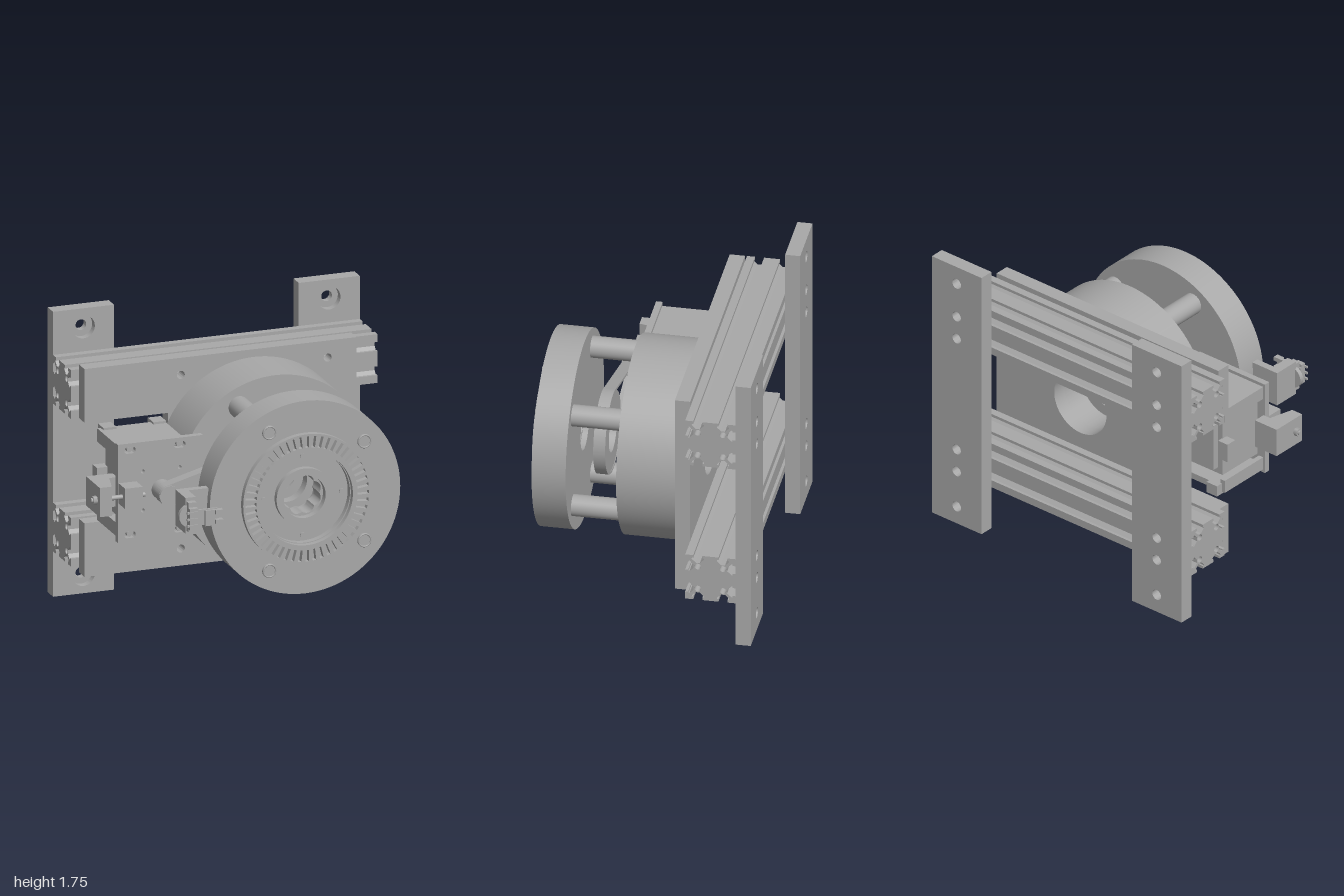
import * as THREE from 'three';
import { toCreasedNormals } from 'three/addons/utils/BufferGeometryUtils.js';

const CX = 0.195, CY = 0.88, MX = -0.54;   // drum axis and motor axis

export function createModel() {
  const root = new THREE.Group();
  const grey = new THREE.MeshStandardMaterial({ color: 0xa8a8a8 });
  grey.name = 'machined grey';

  const add = (name, geo, x = 0, y = 0, z = 0) => {
    const m = new THREE.Mesh(geo, grey);
    m.name = name;
    m.position.set(x, y, z);
    root.add(m);
    return m;
  };
  const box = (name, x0, x1, y0, y1, z0, z1) =>
    add(name, new THREE.BoxGeometry(x1 - x0, y1 - y0, z1 - z0), (x0 + x1) / 2, (y0 + y1) / 2, (z0 + z1) / 2);
  const circle = (x, y, r) => new THREE.Path().absarc(x, y, r, 0, Math.PI * 2, false);
  const disc = (x, y, r) => new THREE.Shape().absarc(x, y, r, 0, Math.PI * 2, false);
  const poly = (pts) => new THREE.Shape(pts.map(([x, y]) => new THREE.Vector2(x, y)));
  const rect = (x0, x1, y0, y1) => poly([[x0, y0], [x1, y0], [x1, y1], [x0, y1]]);
  const solid = (shape, depth, seg = 32) => toCreasedNormals(
    new THREE.ExtrudeGeometry(shape, { depth, bevelEnabled: false, curveSegments: seg }), 0.5);
  // Extrude a front outline between two depths
  const slab = (name, shape, z0, z1, holes = [], seg = 32) => {
    shape.holes.push(...holes);
    return add(name, solid(shape, z1 - z0, seg), 0, 0, z0);
  };
  const rodZ = (name, x, y, r, z0, z1, seg = 32) =>
    add(name, new THREE.CylinderGeometry(r, r, z1 - z0, seg).rotateX(Math.PI / 2), x, y, (z0 + z1) / 2);
  const rodX = (name, x0, x1, y, z, r, seg = 20) =>
    add(name, new THREE.CylinderGeometry(r, r, x1 - x0, seg).rotateZ(Math.PI / 2), (x0 + x1) / 2, y, z);

  // Upright mounting bars with counterbored end holes
  for (const x0 of [-0.91, 0.62]) {
    const cx = x0 + 0.19;
    const inner = () => [1.415, 1.265, 0.505, 0.355].map((y) => circle(cx, y, 0.032));
    const ends = (r) => [1.64, 0.115].map((y) => circle(cx, y, r));
    slab('mountingBarBack', rect(x0, x0 + 0.38, 0, 1.755), -0.755, -0.71, [...inner(), ...ends(0.033)]);
    slab('mountingBarFront', rect(x0, x0 + 0.38, 0, 1.755), -0.71, -0.665, [...inner(), ...ends(0.07)]);
  }

  // Slotted rails: one side of the section turned four times
  const side = [[0.15, 0.15]];
  for (const c of [0.075, -0.075]) {
    const half = [[0.027, 0.15], [0.027, 0.132], [0.037, 0.132], [0.037, 0.125], [0.012, 0.1]];
    half.forEach(([x, y]) => side.push([c + x, y]));
    [...half].reverse().forEach(([x, y]) => side.push([c - x, y]));
  }
  const outline = [];
  for (let k = 0, c = 1, s = 0; k < 4; k++, [c, s] = [-s, c])
    side.forEach(([x, y]) => outline.push([x * c - y * s, x * s + y * c]));
  for (const y of [1.34, 0.43]) {
    const section = poly(outline);
    for (const a of [-0.075, 0.075]) for (const b of [-0.075, 0.075]) section.holes.push(circle(a, b, 0.02));
    add('slottedRail', solid(section, 1.91, 8).rotateY(Math.PI / 2), -0.91, y, -0.515);
  }

  // Base plate, notched for the motor
  const plateHoles = [circle(CX, CY, 0.2)];
  for (const x of [-0.26, 0.655]) for (const y of [1.415, 0.345]) plateHoles.push(circle(x, y, 0.025));
  slab('basePlate', poly([[-0.86, 0.24], [0.835, 0.24], [0.835, 1.52], [-0.86, 1.52],
    [-0.86, 1.19], [-0.34, 1.19], [-0.34, 0.57], [-0.86, 0.57]]), -0.363, -0.272, plateHoles);

  // Rear drum with a flat beside the motor
  const flat = Math.acos((-0.36 - CX) / 0.593);
  slab('rearDrum', new THREE.Shape().absarc(CX, CY, 0.593, -flat, flat, false), -0.272, 0.087, [circle(CX, CY, 0.2)], 72);
  slab('bearingFlange', disc(CX, CY, 0.28), 0.08, 0.11, [circle(CX, CY, 0.125)], 48);
  slab('rearBearing', disc(CX, CY, 0.205), -0.12, 0.08, [circle(CX, CY, 0.135)], 48);

  // Posts and their front bolts
  for (const [x, y] of [[-0.03, 1.305], [0.562, 1.185], [0.562, 0.575], [-0.03, 0.455]]) {
    rodZ('post', x, y, 0.065, 0.08, 0.395);
    rodZ('postBolt', x, y, 0.042, 0.58, 0.602);
    add('boltRim', new THREE.TorusGeometry(0.038, 0.005, 6, 28), x, y, 0.602);
  }

  // Front disc with a stepped, hollow centre
  const prof = [[0.13, 0.387], [0.593, 0.387], [0.593, 0.59], [0.28, 0.59], [0.28, 0.55],
    [0.175, 0.55], [0.175, 0.585], [0.13, 0.585], [0.13, 0.387]];
  add('frontDisc', toCreasedNormals(new THREE.LatheGeometry(
    prof.map(([r, z]) => new THREE.Vector2(r, z)), 96).rotateX(Math.PI / 2), 0.5), CX, CY, 0);
  for (let i = 0; i < 4; i++) {
    const a = i * Math.PI / 2;
    rodZ('hubScrew', CX + 0.243 * Math.cos(a), CY + 0.243 * Math.sin(a), 0.016, 0.54, 0.558, 16);
  }

  // Ring of radial slots
  const slots = [];
  for (let i = 0; i < 52; i++) {
    const a = i / 52 * Math.PI * 2, c = Math.cos(a), s = Math.sin(a);
    slots.push(new THREE.Path([[0.315, -0.011], [0.385, -0.011], [0.385, 0.011], [0.315, 0.011]]
      .map(([r, t]) => new THREE.Vector2(CX + r * c - t * s, CY + r * s + t * c))));
  }
  slab('slottedRing', disc(CX, CY, 0.398), 0.588, 0.625, [circle(CX, CY, 0.285), ...slots], 64);

  // Scalloped bore
  const scallop = [];
  for (let i = 0; i < 96; i++) {
    const a = i / 96 * Math.PI * 2, r = 0.106 + 0.016 * Math.abs(Math.sin(4 * a));
    scallop.push(new THREE.Vector2(CX + r * Math.cos(a), CY + r * Math.sin(a)));
  }
  slab('scallopedBore', disc(CX, CY, 0.135), 0.42, 0.54, [new THREE.Path(scallop)], 48);

  // Pulleys and belt
  const loop = (T, R1, R2) => {
    const a = Math.acos((R1 - R2) / (CX - MX));
    return new T().absarc(CX, CY, R1, a - Math.PI, Math.PI - a, false)
      .absarc(MX, CY, R2, Math.PI - a, Math.PI + a, false);
  };
  slab('belt', loop(THREE.Shape, 0.255, 0.062), 0.217, 0.288, [loop(THREE.Path, 0.24, 0.047)], 48);
  slab('largePulley', disc(CX, CY, 0.242), 0.22, 0.285, [circle(CX, CY, 0.125)], 64);
  rodZ('smallPulley', MX, CY, 0.049, 0.2, 0.3);
  rodZ('pulleyFlange', MX, CY, 0.062, 0.291, 0.302);
  rodZ('pulleyHub', MX, CY, 0.06, 0.15, 0.212);

  // Motor and its cradle
  const lugs = [];
  for (const x of [-0.735, -0.425]) for (const y of [1.14, 0.62]) {
    const p = new THREE.Path();
    p.absarc(x + 0.016, y, 0.02, -Math.PI / 2, Math.PI / 2, false);
    p.absarc(x - 0.016, y, 0.02, Math.PI / 2, Math.PI * 1.5, false);
    lugs.push(p);
    rodZ('cradleBolt', x, y, 0.016, 0.1, 0.145, 12);
    box('cradleFoot', x - 0.04, x + 0.04, y - 0.035, y + 0.035, -0.275, -0.18);
  }
  for (const x of [-0.655, -0.425]) for (const y of [1.0, 0.76]) lugs.push(circle(x, y, 0.012));
  slab('motorPlate', rect(-0.81, -0.28, 0.577, 1.182), 0.117, 0.156, lugs, 12);
  box('motor', -0.755, -0.4, 0.69, 1.07, -0.2, 0.117);
  box('motorRearCap', -0.72, -0.43, 0.73, 1.03, -0.24, -0.2);
  for (const y of [0.598, 1.122]) box('cradleWall', -0.797, -0.382, y, y + 0.04, -0.23, 0.117);
  for (const y of [0.62, 1.08]) box('cradleSide', -0.797, -0.765, y, y + 0.06, -0.23, 0.117);
  box('motorConnector', -0.822, -0.75, 0.82, 0.94, -0.235, -0.165);

  // Belt tensioner on the outer side
  const arm = poly([[-0.965, 0.04], [-0.8, 0.04], [-0.8, 0.117], [-0.85, 0.117], [-0.89, 0.27], [-0.965, 0.27]]);
  add('tensionerArm', solid(arm, 0.18).rotateX(Math.PI / 2), 0, 0.97, 0);
  box('tensionerBlock', -0.805, -0.695, 0.82, 0.945, 0.156, 0.265);
  rodX('tensionerScrew', -1, -0.665, CY, 0.215, 0.014);
  rodX('tensionerNut', -0.99, -0.962, CY, 0.215, 0.026, 6);

  // Sensor bracket reaching round to the front
  box('sensorBracketFoot', -0.58, -0.39, 0.77, 0.99, 0.5, 0.545);
  box('sensorBracketArm', -0.58, -0.515, 0.77, 0.99, 0.5, 0.672);
  rodZ('sensorCollar', -0.555, CY, 0.068, 0.66, 0.685, 24);
  box('sensorSpacer', -0.575, -0.525, 0.79, 0.97, 0.672, 0.71);
  box('sensorBoard', -0.58, -0.4, 0.83, 0.925, 0.71, 0.724);
  box('sensorHead', -0.48, -0.42, 0.825, 0.92, 0.718, 0.738);
  for (const y of [0.835, 0.895]) box('sensorFork', -0.42, -0.372, y, y + 0.025, 0.715, 0.75);
  box('sensorPlug', -0.582, -0.53, 0.815, 0.945, 0.72, 0.75);
  for (let i = 0; i < 3; i++) box('sensorPin', -0.6, -0.53, 0.835 + i * 0.04, 0.847 + i * 0.04, 0.745, 0.757);

  return root;
}
